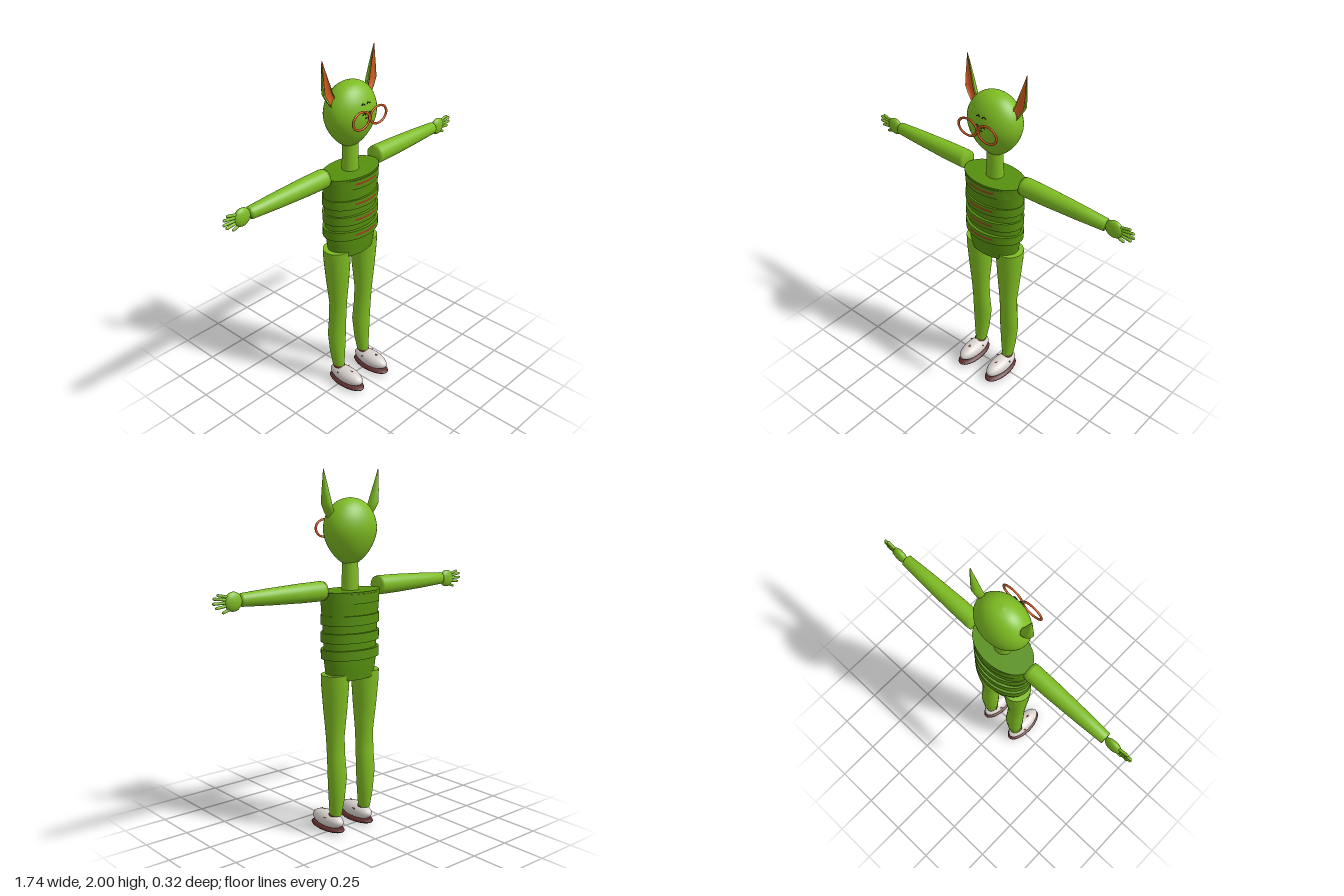
import * as THREE from 'three';

const mat = (name, color, side = THREE.FrontSide) => {
  const m = new THREE.MeshStandardMaterial({ color, side });
  m.name = name;
  return m;
};
const ZC = -0.035; // depth of the body axis

export function createModel() {
  const root = new THREE.Group();
  root.name = 'figure';
  const skin = mat('leaf green', 0x7ebc22, THREE.DoubleSide);
  const shirt = mat('dark green', 0x568f0e);
  const orange = mat('orange', 0xd05a1e, THREE.DoubleSide);
  const rust = mat('rust', 0x9c3f22, THREE.DoubleSide);
  const white = mat('shoe white', 0xd9d3cf);
  const brown = mat('sole brown', 0x5a2c2a);
  const black = mat('black', 0x1c2410);

  const add = (name, geo, material, pos = [0, 0, 0], scale = [1, 1, 1], parent = root) => {
    const m = new THREE.Mesh(geo, material);
    m.name = name;
    m.position.set(...pos);
    m.scale.set(...scale);
    parent.add(m);
    return m;
  };
  const lathe = (pts, seg = 40) => new THREE.LatheGeometry(pts.map(p => new THREE.Vector2(...p)), seg);
  const smooth = (pts, n = 24) =>
    new THREE.SplineCurve(pts.map(p => new THREE.Vector2(...p))).getPoints(n).map(p => [Math.max(0, p.x), p.y]);
  const tube = (pts, r) =>
    new THREE.TubeGeometry(new THREE.CatmullRomCurve3(pts.map(p => new THREE.Vector3(...p))), 12, r, 6);

  // Head and neck
  const egg = smooth([[0, 1.497], [0.05, 1.512], [0.105, 1.56], [0.145, 1.625], [0.16, 1.69],
    [0.147, 1.755], [0.11, 1.81], [0.06, 1.843], [0, 1.855]], 36);
  add('head', lathe(egg), skin, [0, 0, ZC], [1, 1, 0.74]);
  add('neck', new THREE.CylinderGeometry(0.044, 0.05, 0.18, 28), skin, [0, 1.44, ZC], [1, 1, 0.9]);

  // Torso: tapered body with raised bands and front stripes
  add('torso', lathe([[0, 0.885], [0.15, 0.885]], 48), shirt, [0, 0, ZC], [1, 1, 0.7]);
  add('torsoBody', lathe([[0.15, 0.885], [0.16, 0.95], [0.168, 1.01], [0.167, 1.1], [0.174, 1.19],
    [0.182, 1.29], [0.188, 1.365]], 48), shirt, [0, 0, ZC], [1, 1, 0.63]);
  add('torsoTop', lathe([[0.188, 1.365], [0, 1.367]], 48), shirt, [0, 0, ZC], [1, 1, 0.63]);
  [1.026, 1.118, 1.213, 1.329].forEach(y => {
    add('torsoBand', new THREE.CylinderGeometry(0.18, 0.18, 0.052, 48), shirt, [0, y, ZC], [1, 1, 0.685]);
    add('torsoStripe', new THREE.CylinderGeometry(0.182, 0.182, 0.012, 16, 1, true, -0.46, 0.92),
      rust, [0, y + 0.004, ZC], [1, 1, 0.69]);
  });

  // Ear shell: each level runs from its outer to its inner edge, bowed along z
  const levels = [ // y, outer x, inner x, depth
    [1.745, 0.143, 0.138, 0.008], [1.785, 0.172, 0.115, 0.034], [1.825, 0.194, 0.131, 0.038],
    [1.89, 0.194, 0.152, 0.026], [1.95, 0.192, 0.172, 0.014], [2.0, 0.19, 0.188, 0.002]];
  const earSheet = (bow, inset, front) => {
    const pos = [], idx = [], n = 10;
    levels.forEach(([y, xo, xi, d]) => {
      for (let i = 0; i <= n; i++) {
        const a = Math.PI * i / n, r = (xo - xi) / 2;
        pos.push((xo + xi) / 2 + Math.cos(a) * r * inset, y, front - bow * d * Math.sin(a) - (y - 1.75) * 0.09);
      }
    });
    for (let j = 0; j < levels.length - 1; j++) for (let i = 0; i < n; i++) {
      const a = j * (n + 1) + i, b = a + n + 1;
      idx.push(a, a + 1, b, a + 1, b + 1, b);
    }
    const g = new THREE.BufferGeometry();
    g.setAttribute('position', new THREE.Float32BufferAttribute(pos, 3));
    g.setIndex(idx);
    g.computeVertexNormals();
    return g;
  };
  const earShell = earSheet(1, 1, -0.022), earLining = earSheet(0.35, 0.8, -0.02);

  // Everything below comes in mirrored pairs
  for (const s of [1, -1]) {
    const side = s > 0 ? 'left' : 'right';
    const half = new THREE.Group();
    half.name = side + 'Side';
    half.scale.x = s;
    root.add(half);
    const put = (name, geo, material, pos, scale) => add(side + name, geo, material, pos, scale, half);

    put('Ear', earShell, skin);
    put('EarLining', earLining, orange);

    // Glasses and face
    put('GlassesRing', new THREE.TorusGeometry(0.06, 0.0075, 10, 40), orange, [0.064, 1.69, 0.102], [1, 0.78, 0.7]);
    put('Brow', tube([[0.008, 1.753, 0.075], [0.018, 1.762, 0.073], [0.031, 1.754, 0.073]], 0.0028), black);
    put('Eye', tube([[0.008, 1.7, 0.083], [0.018, 1.712, 0.082], [0.032, 1.702, 0.081]], 0.0028), black);
    put('Nostril', new THREE.SphereGeometry(0.005, 8, 6), black, [0.009, 1.685, 0.083]);

    // Arm
    const arm = put('Arm', lathe([[0, 0], [0.05, 0], [0.053, 0.02], [0.051, 0.15], [0.043, 0.35], [0.034, 0.51], [0, 0.512]], 28),
      skin, [0.19, 1.374, ZC - 0.003], [1, 1, 0.95]);
    arm.rotation.z = -Math.PI / 2;

    // Hand with four fingers and a thumb
    put('Palm', new THREE.SphereGeometry(0.05, 24, 16), skin, [0.75, 1.37, ZC - 0.005], [1, 0.98, 0.45]);
    const z = ZC - 0.005;
    [[0.78, 1.395, 0.838, 1.408], [0.788, 1.382, 0.86, 1.393], [0.79, 1.368, 0.864, 1.368],
      [0.785, 1.353, 0.848, 1.345], [0.755, 1.34, 0.81, 1.32]].forEach(([x0, y0, x1, y1], i) => {
      const f = put(i < 4 ? 'Finger' : 'Thumb', new THREE.CapsuleGeometry(0.0075, Math.hypot(x1 - x0, y1 - y0) - 0.008, 4, 10),
        skin, [(x0 + x1) / 2, (y0 + y1) / 2, z]);
      f.rotation.z = Math.atan2(y1 - y0, x1 - x0) - Math.PI / 2;
    });

    // Leg: rings lofted along a bent axis
    const rows = [[0.105, 0.106, 0.031, -0.036, 0.037], [0.2, 0.105, 0.045, -0.044, 0.044], [0.33, 0.104, 0.056, -0.049, 0.05],
      [0.45, 0.105, 0.052, -0.04, 0.048], [0.56, 0.106, 0.052, -0.034, 0.05], [0.72, 0.107, 0.066, -0.036, 0.066],
      [0.85, 0.108, 0.076, -0.037, 0.076], [0.915, 0.108, 0.078, -0.037, 0.078]]; // y, x, rx, z, rz
    const leg = new THREE.CylinderGeometry(1, 1, 1, 28, rows.length - 1);
    const p = leg.attributes.position;
    for (let i = 0; i < p.count; i++) {
      const [y, x, rx, zc, rz] = rows[Math.round((p.getY(i) + 0.5) * (rows.length - 1))];
      p.setXYZ(i, x + p.getX(i) * rx, y, zc + p.getZ(i) * rz);
    }
    leg.computeVertexNormals();
    put('Leg', leg, skin);

    // Shoe with sole and small studs
    put('Shoe', new THREE.SphereGeometry(1, 32, 20), white, [0.107, 0.064, 0.03], [0.053, 0.047, 0.121]);
    put('Sole', new THREE.SphereGeometry(1, 32, 14), brown, [0.107, 0.02, 0.032], [0.06, 0.02, 0.129]);
    put('ShoeCollar', new THREE.TorusGeometry(0.03, 0.005, 8, 24), rust, [0.107, 0.105, -0.03]).rotation.x = Math.PI / 2;
    [[0.107, 0.107, 0.075, 0], [0.15, 0.085, 0.0, -0.9], [0.064, 0.085, 0.0, 0.9]].forEach(([x, y, zz, a]) => {
      const stud = put('ShoeStud', new THREE.ConeGeometry(0.013, 0.026, 4), rust, [x, y, zz]);
      stud.rotation.set(0.9, 0, a);
    });
  }
  return root;
}
